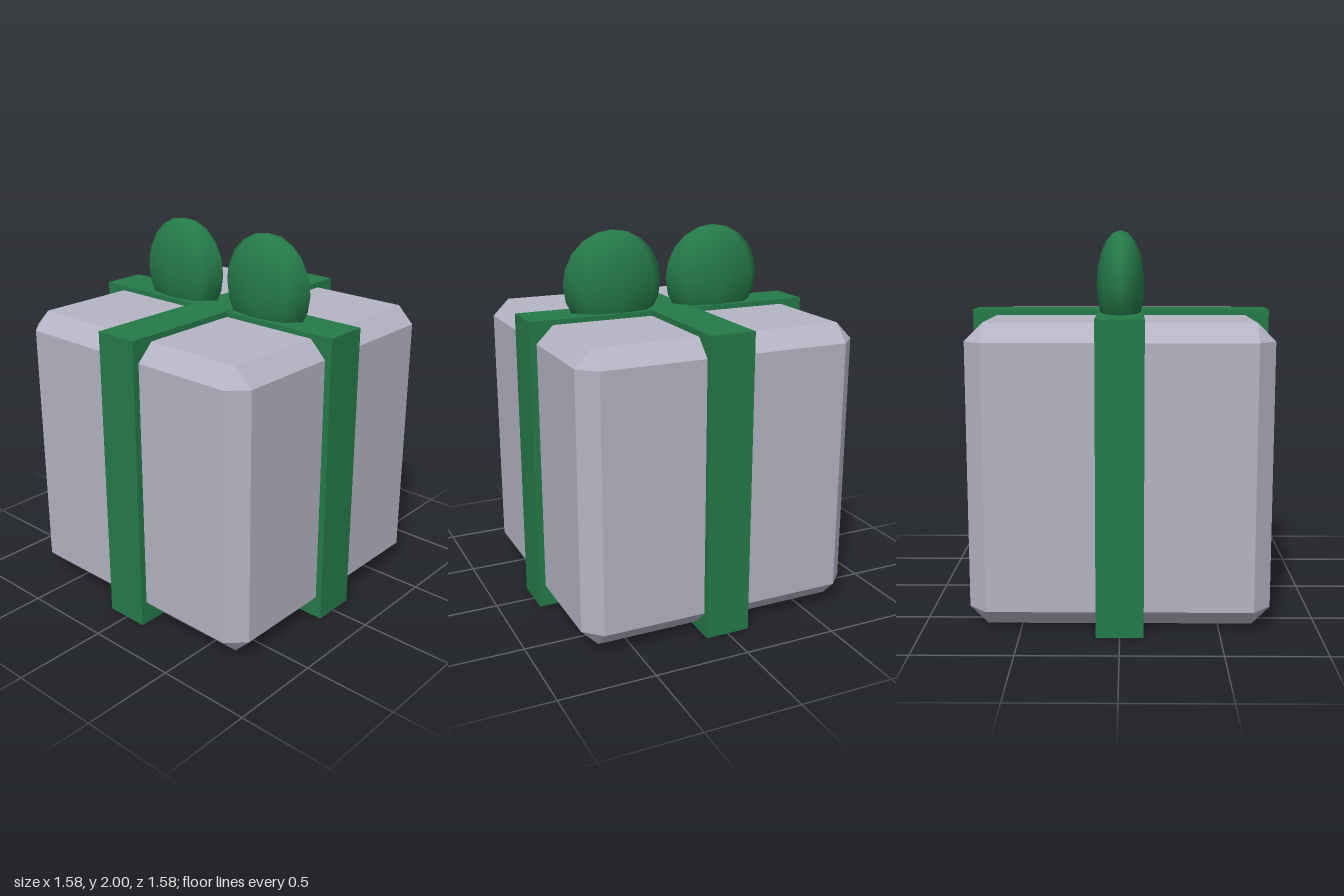
import * as THREE from 'three';
import { ConvexGeometry } from 'three/addons/geometries/ConvexGeometry.js';

const paper = new THREE.MeshStandardMaterial({ color: 0xb4b4c4 });
paper.name = 'grey paper';
const ribbon = new THREE.MeshStandardMaterial({ color: 0x257a49 });
ribbon.name = 'green ribbon';

// Box with bevelled edges and triangular corners
function chamferedBox(w, h, d, c) {
  const points = [];
  for (const sx of [-1, 1]) for (const sy of [-1, 1]) for (const sz of [-1, 1]) {
    const [x, y, z] = [w / 2, h / 2, d / 2];
    points.push(
      new THREE.Vector3(sx * x, sy * (y - c), sz * (z - c)),
      new THREE.Vector3(sx * (x - c), sy * y, sz * (z - c)),
      new THREE.Vector3(sx * (x - c), sy * (y - c), sz * z)
    );
  }
  return new ConvexGeometry(points);
}

export function createModel() {
  const model = new THREE.Group();
  model.name = 'giftBox';
  const add = (name, geometry, material, x, y, z) => {
    const mesh = new THREE.Mesh(geometry, material);
    mesh.name = name;
    mesh.position.set(x, y, z);
    model.add(mesh);
    return mesh;
  };

  // Wrapped box
  add('box', chamferedBox(1.512, 1.52, 1.512, 0.09), paper, 0, 0.794, 0);

  // Crossing ribbons, one laid just over the other
  add('ribbonFrontToBack', new THREE.BoxGeometry(0.238, 1.584, 1.584), ribbon, 0, 0.792, 0);
  add('ribbonSideToSide', new THREE.BoxGeometry(1.584, 1.574, 0.238), ribbon, 0, 0.793, 0);

  // Flattened bow loops
  for (const side of [-1, 1]) {
    const loop = add(side > 0 ? 'bowLoopLeft' : 'bowLoopRight',
      new THREE.SphereGeometry(1, 8, 10), ribbon, side * 0.291, 1.724, 0);
    loop.scale.set(0.276, 0.276, 0.124);
  }
  return model;
}
